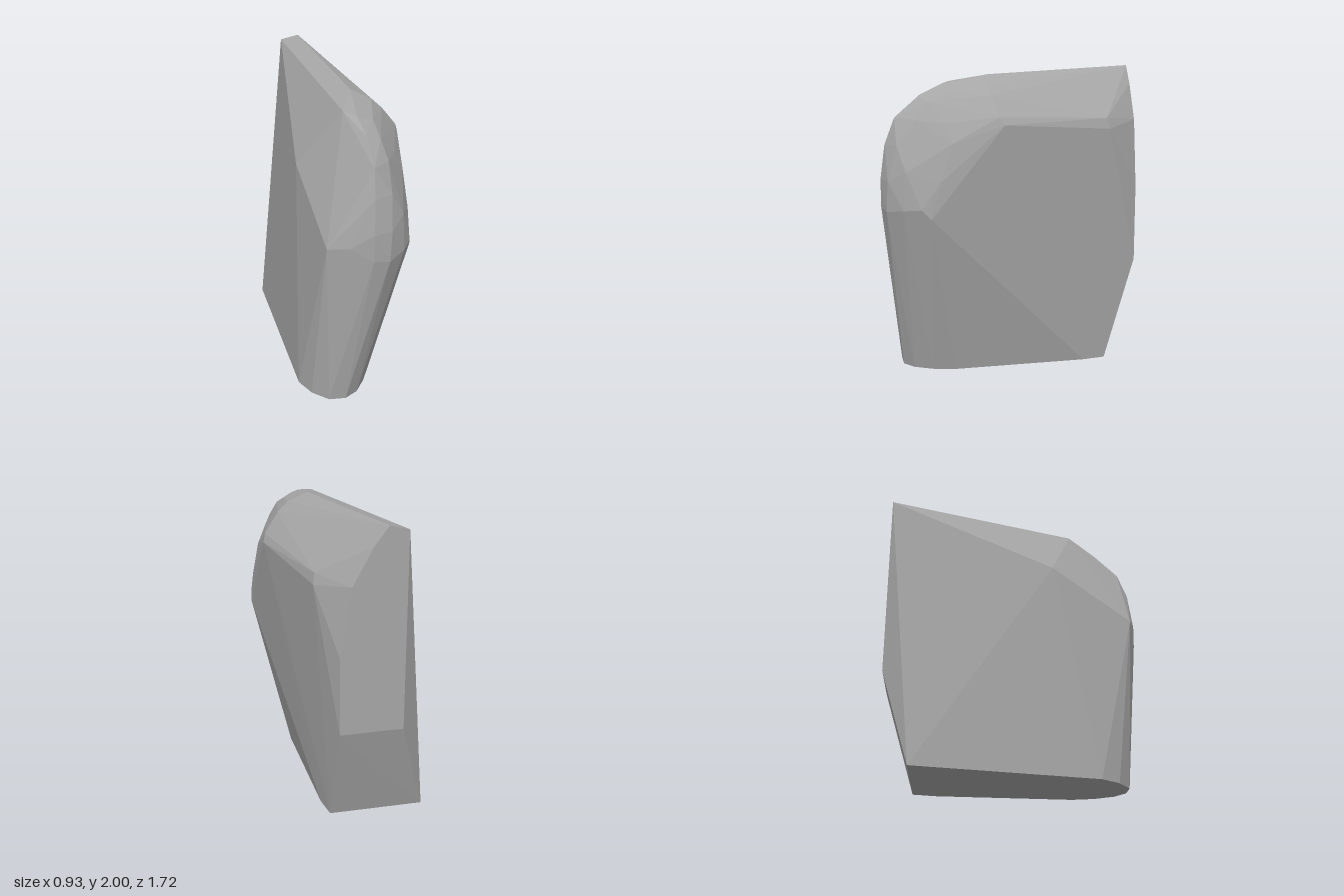
import * as THREE from 'three';
import { ConvexGeometry } from 'three/addons/geometries/ConvexGeometry.js';

// Faceted leaning standing stone: the hull of its base, back cut, shoulders and rounded nose.
export function createModel() {
  const group = new THREE.Group();
  group.name = 'standingStone';
  const stoneGrey = new THREE.MeshStandardMaterial({ color: 0xa6a6a6, flatShading: true });
  stoneGrey.name = 'stoneGrey';

  // flat foot, rounded towards the front
  const base = [
    [-0.47, 0, -0.66], [0.15, 0, -0.655], [0.18, 0, -0.5], [0.22, 0, 0.39], [0.19, 0, 0.54],
    [0.13, 0, 0.66], [0.05, 0, 0.725], [-0.06, 0, 0.73], [-0.17, 0, 0.65], [-0.25, 0, 0.53],
  ];
  // flat vertical cut at the back
  const back = [
    [-0.27, 0.69, -0.86], [0.135, 0.69, -0.86], [0.135, 1.2, -0.86], [0.065, 1.645, -0.86],
    [-0.06, 1.88, -0.86], [-0.15, 2, -0.86], [-0.27, 1.97, -0.86],
  ];
  // top ridge and side shoulders
  const shoulders = [
    [-0.23, 1.5, 0.25], [0.25, 1.6, -0.64], [0.24, 1.67, -0.62], [0.43, 1.65, 0.09],
    [0.415, 1.7, 0.12], [0.32, 1.83, 0.16], [0.25, 1.895, 0.17], [0.12, 1.955, 0.15],
    [0.05, 1.91, 0.4], [0.13, 1.895, 0.46], [0.23, 1.86, 0.42],
  ];
  // rounded nose
  const nose = [
    [-0.08, 1.18, 0.79], [0.05, 1.2, 0.835], [0.2, 1.12, 0.86], [0.2, 1.3, 0.86],
    [0.3, 1.1, 0.83], [0.31, 1.3, 0.82], [0.4, 1.12, 0.73], [0.39, 1.36, 0.71],
    [0.45, 1.13, 0.62], [0.46, 1.07, 0.56], [0.45, 1.3, 0.5], [0.42, 1.54, 0.42],
    [0.2, 1.52, 0.83], [0.31, 1.52, 0.76], [0.2, 1.69, 0.765], [0.3, 1.68, 0.64],
    [0.36, 1.66, 0.46], [0.17, 1.83, 0.6], [0.26, 1.79, 0.56],
  ];

  const points = [...base, ...back, ...shoulders, ...nose].map((p) => new THREE.Vector3(...p));
  const stone = new THREE.Mesh(new ConvexGeometry(points), stoneGrey);
  stone.name = 'stone';
  group.add(stone);
  return group;
}
